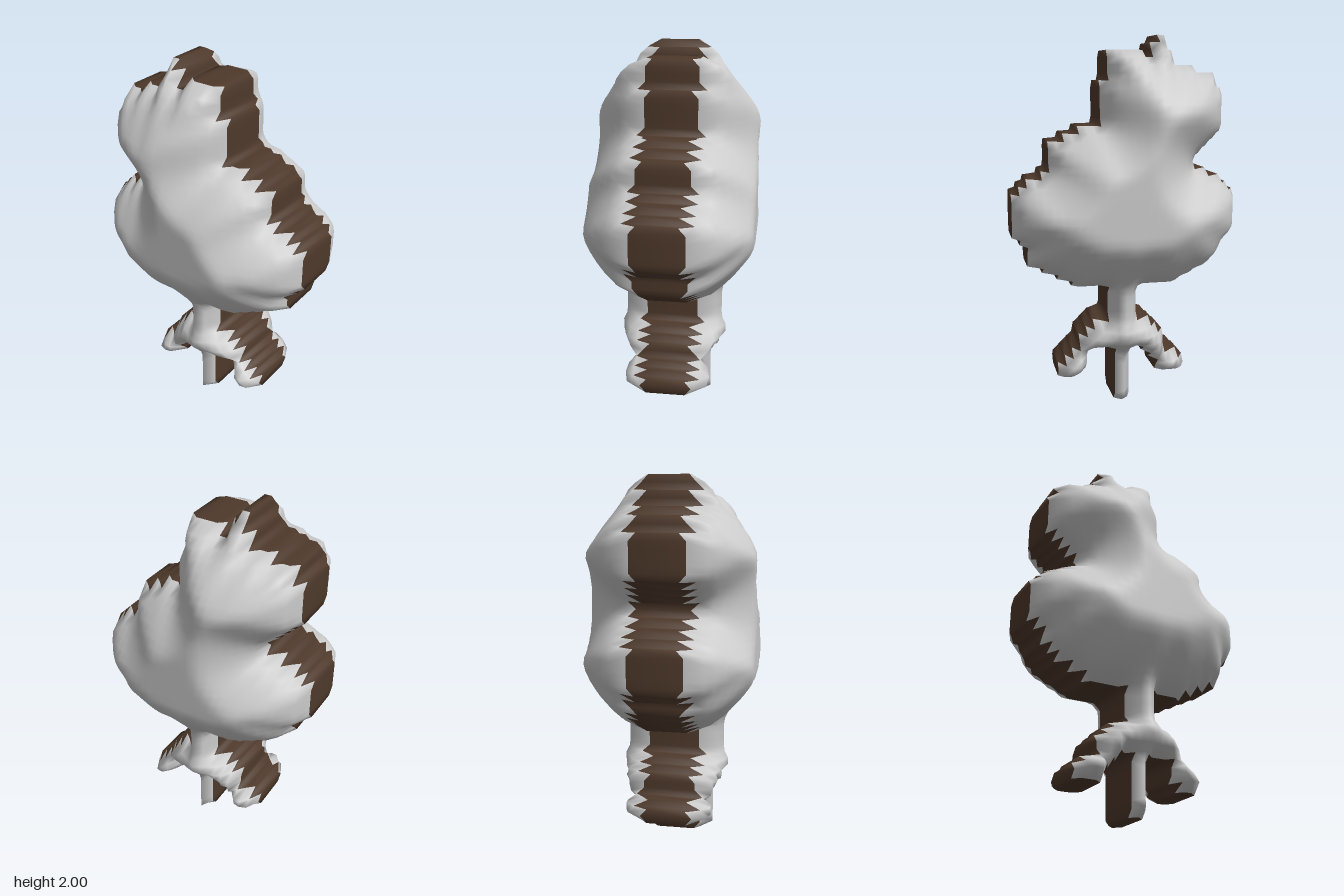
import * as THREE from 'three';

const COLS = 31, ROWS = 51, P = 2 / ROWS;

// Stepped outline from the top down: [number of rows, start, end, start, end, ...]
const BANDS = [
  // crest and head
  [1, 10, 11], [1, 10, 12], [1, 9, 12, 13, 18], [1, 9, 18], [1, 6, 18], [1, 3, 18],
  [1, 3, 19], [5, 2, 19], [1, 2, 22], [1, 3, 24], [1, 4, 26], [1, 5, 26], [2, 6, 26],
  // body
  [1, 4, 27], [1, 2, 29], [1, 1, 30], [6, 0, 31], [1, 1, 30], [2, 2, 29], [1, 3, 29],
  [1, 4, 27], [1, 6, 25], [1, 8, 23],
  // stem, feet and centre post
  [5, 14, 18], [1, 12, 20], [1, 11, 21], [2, 10, 22], [1, 10, 13, 15, 17, 21, 23],
  [1, 8, 12, 15, 17, 21, 24], [1, 7, 11, 15, 17, 21, 25], [1, 7, 11, 15, 17, 22, 25],
  [4, 15, 17],
];

// Outline as a grid of filled cells
const rows = BANDS.flatMap(([n, ...spans]) => Array(n).fill(spans));
function filled(c, r) {
  const s = rows[r] || [];
  for (let i = 0; i < s.length; i += 2) if (c >= s[i] && c < s[i + 1]) return true;
  return false;
}

// Half thickness per cell, growing with the distance to the nearest empty cell up to a plateau;
// each grid corner takes the mean of its four cells
function makeDepth() {
  const empty = [];
  for (let r = -1; r <= ROWS; r++) for (let c = -1; c <= COLS; c++) {
    if (!filled(c, r)) empty.push([c, r]);
  }
  const W = COLS + 2, cells = [];
  for (let r = -1; r <= ROWS; r++) for (let c = -1; c <= COLS; c++) {
    const d = filled(c, r) ? Math.min(...empty.map(([a, b]) => Math.hypot(a - c, b - r))) : 0;
    cells.push(Math.min(0.45, 0.07 + 0.142 * Math.sqrt(d)));
  }
  return (c, r) => {
    const i = r * W + c;
    return (cells[i] + cells[i + 1] + cells[i + W] + cells[i + W + 1]) / 4;
  };
}

export function createModel() {
  const depth = makeDepth();
  const positions = [], ids = new Map();
  const faces = { front: [], back: [], band: [] };

  // Shared vertex at a grid corner; side is 1 for the front and -1 for the back
  const id = (c, r, side) => {
    const key = `${c},${r},${side}`;
    if (!ids.has(key)) {
      ids.set(key, positions.length / 3);
      positions.push((c - COLS / 2) * P, 2 - r * P, side * depth(c, r));
    }
    return ids.get(key);
  };
  const quad = (list, a, b, c, d) => list.push(a, b, c, a, c, d);
  const wall = (c0, r0, c1, r1) =>
    quad(faces.band, id(c0, r0, 1), id(c1, r1, 1), id(c1, r1, -1), id(c0, r0, -1));

  for (let r = 0; r < ROWS; r++) for (let c = 0; c < COLS; c++) {
    if (!filled(c, r)) continue;
    // puffed faces
    quad(faces.front, id(c, r, 1), id(c, r + 1, 1), id(c + 1, r + 1, 1), id(c + 1, r, 1));
    quad(faces.back, id(c, r, -1), id(c + 1, r, -1), id(c + 1, r + 1, -1), id(c, r + 1, -1));
    // stepped band along the outline
    if (!filled(c, r - 1)) wall(c, r, c + 1, r);
    if (!filled(c + 1, r)) wall(c + 1, r, c + 1, r + 1);
    if (!filled(c, r + 1)) wall(c + 1, r + 1, c, r + 1);
    if (!filled(c - 1, r)) wall(c, r + 1, c, r);
  }

  // Normals are smoothed across the whole closed surface, then shared by its parts
  const whole = new THREE.BufferGeometry();
  whole.setAttribute('position', new THREE.Float32BufferAttribute(positions, 3));
  whole.setIndex([...faces.front, ...faces.back, ...faces.band]);
  whole.computeVertexNormals();

  const grey = new THREE.MeshStandardMaterial({ color: 0xcccccc });
  const brown = new THREE.MeshStandardMaterial({ color: 0x4e392b });
  const group = new THREE.Group();
  group.name = 'puffedBird';
  const add = (name, index, material) => {
    const mesh = new THREE.Mesh(whole.clone().setIndex(index), material);
    mesh.name = name;
    group.add(mesh);
  };
  add('frontFace', faces.front, grey);
  add('backFace', faces.back, grey);
  add('edgeBand', faces.band, brown);
  return group;
}
